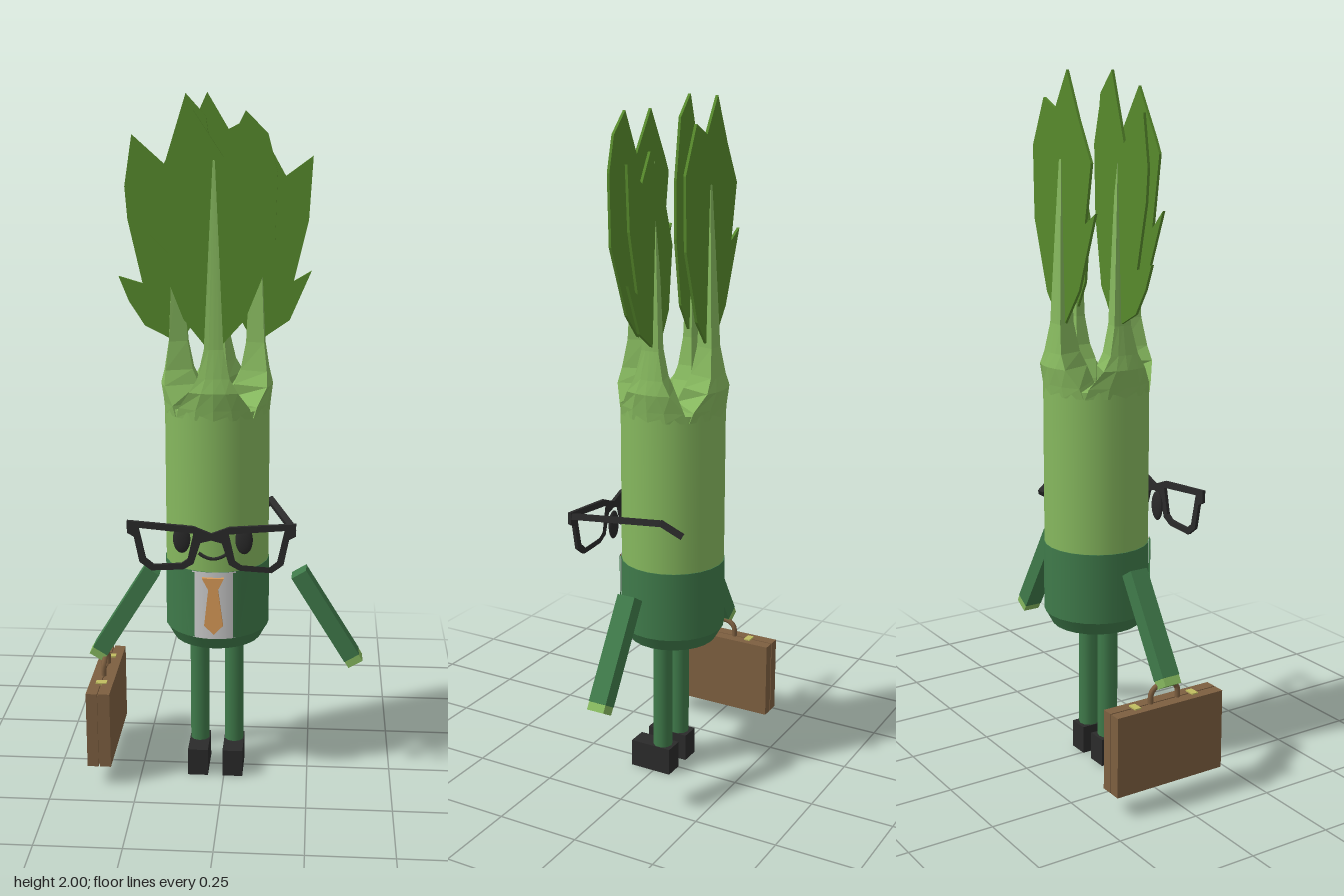
import * as THREE from 'three';

const CX = -0.025, CZ = -0.022; // body axis
const mat = (color, extra = {}) => {
  const m = new THREE.MeshStandardMaterial({ color });
  return Object.assign(m, extra);
};
const M = {
  stalk: mat(0x86b85e), stalkFlat: mat(0x86b85e, { flatShading: true }), suit: mat(0x3f7a4a),
  leaf: mat(0x578a2c), black: mat(0x2a2a2a), shirt: mat(0xc4c4c4, { side: THREE.DoubleSide }),
  tie: mat(0xd99a58), leather: mat(0x7d5f40), brass: mat(0xc0bd60),
  lapel: mat(0x3f7a4a, { side: THREE.DoubleSide }),
};

export function createModel() {
  const root = new THREE.Group();

  const add = (name, geo, material, x = 0, y = 0, z = 0) => {
    const mesh = new THREE.Mesh(geo, material);
    mesh.name = name;
    mesh.position.set(x, y, z);
    root.add(mesh);
    return mesh;
  };
  const box = (name, material, w, h, d, x, y, z) =>
    add(name, new THREE.BoxGeometry(w, h, d), material, x, y, z);

  // box running from point a to point b
  const beam = (name, material, a, b, w, d) => {
    const A = new THREE.Vector3(...a), B = new THREE.Vector3(...b);
    const dir = B.clone().sub(A);
    const mid = A.clone().add(B).multiplyScalar(0.5);
    const mesh = box(name, material, w, dir.length(), d, mid.x, mid.y, mid.z);
    mesh.quaternion.setFromUnitVectors(new THREE.Vector3(0, 1, 0), dir.normalize());
    return mesh;
  };
  // flat plate cut from an outline, centred on z
  const plate = (name, material, pts, depth, z, hole) => {
    const v = (list) => list.map(([x, y]) => new THREE.Vector2(x, y));
    const shape = new THREE.Shape(v(pts));
    if (hole) shape.holes.push(new THREE.Path(v(hole)));
    const geo = new THREE.ExtrudeGeometry(shape, { depth, bevelEnabled: false });
    return add(name, geo, material, 0, 0, z - depth / 2);
  };

  // body and jacket
  add('body', new THREE.CylinderGeometry(0.151, 0.151, 0.47, 24), M.stalk, CX, 0.905, CZ);
  add('jacket', new THREE.CylinderGeometry(0.153, 0.153, 0.205, 24), M.suit, CX, 0.5725, CZ);
  add('jacketHem', new THREE.CylinderGeometry(0.153, 0.13, 0.042, 24), M.suit, CX, 0.451, CZ);

  // shirt front and lapels, curved around the body
  const wrap = (name, material, r, h, a0, a1, y) =>
    add(name, new THREE.CylinderGeometry(r, r, h, 8, 1, true, a0, a1 - a0), material, CX, y, CZ);
  wrap('shirt', M.shirt, 0.155, 0.205, -0.42, 0.42, 0.573);
  for (const s of [-1, 1]) {
    const lapel = wrap('lapel', M.lapel, 0.158, 0.2, s > 0 ? 0.36 : -0.7, s > 0 ? 0.7 : -0.36, 0.573);
    // lapels narrow toward the hem
    const p = lapel.geometry.attributes.position;
    for (let i = 0; i < p.count; i++) {
      if (p.getY(i) > 0) continue;
      const a = s * 0.36 + (Math.atan2(p.getX(i), p.getZ(i)) - s * 0.36) * 0.35;
      p.setXYZ(i, 0.158 * Math.sin(a), p.getY(i), 0.158 * Math.cos(a));
    }
    lapel.geometry.computeVertexNormals();
  }
  plate('tie', M.tie, [[-0.058, 0.66], [0.005, 0.66], [-0.012, 0.625], [0.002, 0.515],
    [-0.024, 0.487], [-0.052, 0.515], [-0.04, 0.625]], 0.012, 0.136);

  // four tapering stalks: [y, inner radius, outer radius, outer half width, inner half width]
  const levels = [
    [1.12, 0.0, 0.151, 0.107, 0.001], [1.15, 0.015, 0.154, 0.1, 0.008],
    [1.2, 0.05, 0.16, 0.068, 0.03], [1.24, 0.068, 0.15, 0.045, 0.022],
    [1.32, 0.083, 0.137, 0.027, 0.014], [1.6, 0.096, 0.124, 0.014, 0.008],
    [1.83, 0.108, 0.113, 0.003, 0.002],
  ];
  const stalkGeometry = () => {
    const pos = [], idx = [], n = 7, R = 0.16;
    for (const [y, r0, r1, w, wi] of levels) {
      for (const s of [-1, -0.5, 0, 0.5, 1]) {
        const t = s * w;
        pos.push(t, y, Math.sqrt(R * R - t * t) - R + r1);
      }
      pos.push(wi, y, r0, -wi, y, r0);
    }
    const last = (levels.length - 1) * n;
    for (let k = 0; k < levels.length - 1; k++) {
      for (let i = 0; i < n; i++) {
        const a = k * n + i, b = k * n + (i + 1) % n;
        idx.push(a, b, b + n, a, b + n, a + n);
      }
    }
    for (let i = 1; i < n - 1; i++) idx.push(last, last + i, last + i + 1);
    const g = new THREE.BufferGeometry();
    g.setAttribute('position', new THREE.Float32BufferAttribute(pos, 3));
    g.setIndex(idx);
    g.computeVertexNormals();
    return g;
  };
  for (let i = 0; i < 4; i++) {
    add('stalk', stalkGeometry(), M.stalkFlat, CX, 0, CZ).rotation.y = i * Math.PI / 2;
  }

  // jagged flat leaves, one per stalk
  plate('rightLeaf', M.leaf, [[-0.13, 1.31], [-0.23, 1.36], [-0.275, 1.43], [-0.303, 1.5],
    [-0.235, 1.48], [-0.275, 1.66], [-0.282, 1.75], [-0.26, 1.89], [-0.17, 1.81], [-0.11, 2.0],
    [-0.055, 1.94], [-0.03, 1.77], [-0.03, 1.61], [-0.06, 1.42]], 0.008, -0.024);
  plate('leftLeaf', M.leaf, [[0.08, 1.31], [0.18, 1.38], [0.24, 1.52], [0.19, 1.49],
    [0.23, 1.66], [0.24, 1.835], [0.165, 1.78], [0.12, 1.86], [0.05, 1.75], [0.0, 1.6],
    [0.02, 1.42]], 0.008, -0.028);
  plate('frontLeaf', M.leaf, [[-0.03, 1.3], [-0.11, 1.4], [-0.2, 1.63], [-0.15, 1.58],
    [-0.18, 1.78], [-0.16, 1.82], [-0.08, 1.96], [0.0, 1.84], [0.06, 1.96], [0.12, 1.9],
    [0.146, 1.8], [0.14, 1.6], [0.06, 1.4]], 0.008, 0.084);
  plate('backLeaf', M.leaf, [[-0.03, 1.3], [-0.12, 1.42], [-0.2, 1.63], [-0.15, 1.6],
    [-0.18, 1.76], [-0.12, 1.87], [-0.06, 2.0], [0.0, 1.9], [0.06, 1.93], [0.12, 1.8],
    [0.115, 1.6], [0.05, 1.4]], 0.008, -0.134);

  // face
  for (const s of [-1, 1]) {
    const eye = add('eye', new THREE.SphereGeometry(1, 16, 12), M.black, -0.027 + s * 0.089, 0.775, 0.129);
    eye.scale.set(0.025, 0.043, 0.009);
  }
  const smile = new THREE.QuadraticBezierCurve3(new THREE.Vector3(-0.068, 0.732, 0.126),
    new THREE.Vector3(-0.027, 0.7, 0.133), new THREE.Vector3(0.014, 0.732, 0.126));
  add('mouth', new THREE.TubeGeometry(smile, 10, 0.005, 6), M.black);

  // glasses with a single temple arm
  const rim = [[0, 0.812], [0.05, 0.832], [0.237, 0.846], [0.237, 0.81], [0.218, 0.8],
    [0.203, 0.725], [0.17, 0.7], [0.08, 0.705], [0.05, 0.722], [0.03, 0.785], [0, 0.793]];
  const lens = [[0.05, 0.812], [0.205, 0.826], [0.185, 0.735], [0.163, 0.717], [0.085, 0.722],
    [0.067, 0.735]];
  for (const s of [-1, 1]) {
    const side = (list) => list.map(([x, y]) => [-0.027 + s * x, y]);
    plate('glassesRim', M.black, side(rim), 0.01, 0.186, side(lens));
  }
  beam('glassesTemple', M.black, [0.2, 0.832, 0.186], [0.13, 0.832, -0.07], 0.018, 0.018);
  beam('glassesTempleTip', M.black, [0.131, 0.835, -0.065], [0.112, 0.797, -0.128], 0.018, 0.018);

  for (const s of [-1, 1]) {
    // arms and hands
    beam('arm', M.suit, [s * 0.217, 0.629, -0.017], [s * 0.378, 0.367, -0.017], 0.05, 0.055);
    beam('hand', M.stalk, [s * 0.378, 0.367, -0.017], [s * 0.39, 0.347, -0.017], 0.048, 0.053);
    // legs and shoes
    const x = -0.026 + s * 0.052;
    add('leg', new THREE.CylinderGeometry(0.029, 0.029, 0.36, 10), M.suit, x, 0.26, -0.017);
    box('shoe', M.black, 0.06, 0.083, 0.13, x, 0.0415, 0.01);
  }

  // briefcase: two halves, seam, clasps and handle
  for (const s of [-1, 1]) box('briefcaseHalf', M.leather, 0.033, 0.234, 0.353, -0.365 + s * 0.0185, 0.18, -0.016);
  box('briefcaseSeam', M.leather, 0.01, 0.222, 0.341, -0.365, 0.18, -0.016);
  for (const z of [0.08, -0.113]) box('clasp', M.brass, 0.032, 0.022, 0.02, -0.365, 0.29, z);
  const grip = new THREE.CatmullRomCurve3([[0.03, 0.292], [0.026, 0.33], [0.005, 0.345],
    [-0.037, 0.345], [-0.058, 0.33], [-0.062, 0.292]].map(([z, y]) => new THREE.Vector3(-0.365, y, z)));
  add('briefcaseHandle', new THREE.TubeGeometry(grip, 16, 0.008, 6), M.leather);

  return root;
}
